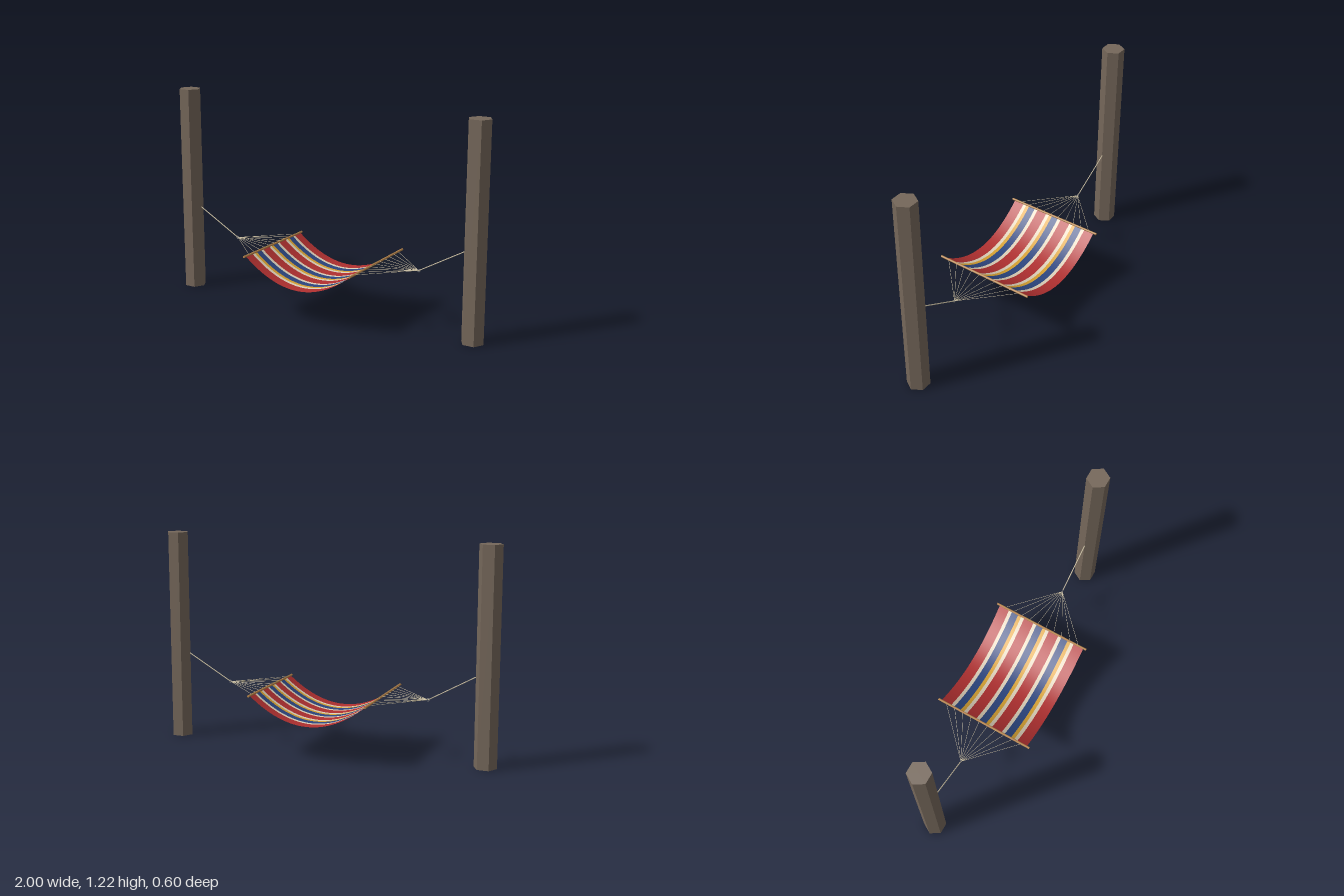
import * as THREE from 'three';

const mat = (name, color, extra = {}) => {
  const m = new THREE.MeshStandardMaterial({ color, ...extra });
  m.name = name;
  return m;
};

export function createModel() {
  const model = new THREE.Group();
  model.name = 'hammock';
  const cloth = { side: THREE.DoubleSide };
  const mats = {
    post: mat('post wood', 0x75675a, { flatShading: true }),
    bar: mat('bar wood', 0xb5834a),
    rope: mat('rope', 0xcfc3a6),
    metal: mat('ring metal', 0x77797d),
    red: mat('red cloth', 0xb03030, cloth),
    cream: mat('cream cloth', 0xdccfb8, cloth),
    blue: mat('blue cloth', 0x2c4680, cloth),
    yellow: mat('yellow cloth', 0xd8a232, cloth),
  };

  const add = (parent, name, geometry, material) => {
    const mesh = new THREE.Mesh(geometry, material);
    mesh.name = name;
    parent.add(mesh);
    return mesh;
  };

  // Straight cylinder between two points
  const rod = (parent, name, a, b, radius, sides, material) => {
    const dir = b.clone().sub(a);
    const mesh = add(parent, name, new THREE.CylinderGeometry(radius, radius, dir.length(), sides), material);
    mesh.position.copy(a).add(b).multiplyScalar(0.5);
    mesh.quaternion.setFromUnitVectors(new THREE.Vector3(0, 1, 0), dir.normalize());
    return mesh;
  };
  const v = (x, y, z) => new THREE.Vector3(x, y, z);

  // Post, rope, ring, fan of cords and spreader bar at each end
  const barX = 0.345, barY = 0.35, ringX = 0.605, cords = 10;
  for (const s of [1, -1]) {
    const end = new THREE.Group();
    end.name = s > 0 ? 'leftEnd' : 'rightEnd';
    model.add(end);

    const post = add(end, 'post', new THREE.CylinderGeometry(0.065, 0.065, 1.22, 6), mats.post);
    post.rotation.y = Math.PI / 6;
    post.position.set(s * 0.935, 0.61, 0);

    rod(end, 'mainRope', v(s * 0.88, 0.505, 0), v(s * ringX, barY, 0), 0.003, 6, mats.rope);

    const ring = add(end, 'ring', new THREE.TorusGeometry(0.008, 0.002, 6, 16), mats.metal);
    ring.position.set(s * ringX, barY, 0);

    for (let i = 0; i < cords; i++) {
      const z = -0.25 + (0.5 * i) / (cords - 1);
      rod(end, 'cord', v(s * ringX, barY, 0), v(s * barX, barY, z), 0.0012, 5, mats.rope);
    }
    rod(end, 'spreaderBar', v(s * barX, barY, -0.302), v(s * barX, barY, 0.302), 0.0065, 8, mats.bar);
  }

  // Sagging cloth, one curved strip per stripe, from back to front
  const bed = new THREE.Group();
  bed.name = 'clothBed';
  model.add(bed);
  const unit = 0.021, repeat = [['red', 3], ['cream', 1], ['blue', 2], ['yellow', 1], ['cream', 1]];
  const stripes = [...repeat, ...repeat, ...repeat, ['red', 3]];
  let z = -13.5 * unit;
  for (const [color, count] of stripes) {
    const width = count * unit;
    const g = new THREE.PlaneGeometry(2 * barX, width, 28, 1);
    g.rotateX(-Math.PI / 2);
    const p = g.attributes.position;
    for (let i = 0; i < p.count; i++) {
      const t = p.getX(i) / barX;
      p.setY(i, barY - 0.145 * (1 - t * t));
    }
    g.computeVertexNormals();
    add(bed, color + 'Stripe', g, mats[color]).position.z = z + width / 2;
    z += width;
  }
  return model;
}
